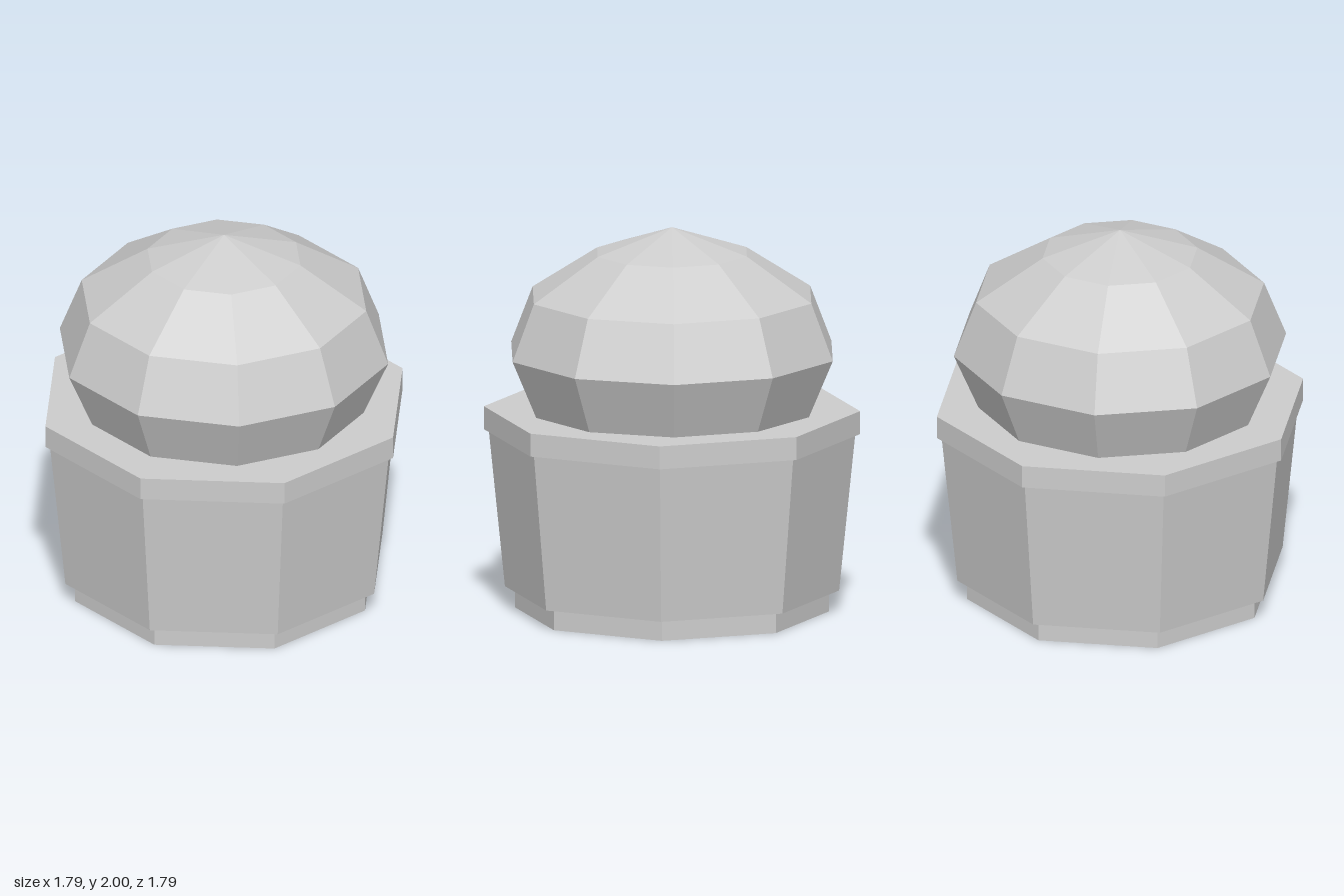
import * as THREE from 'three';

export function createModel() {
  const group = new THREE.Group();
  const grey = new THREE.MeshStandardMaterial({ color: 0xcccccc, flatShading: true, side: THREE.DoubleSide });
  grey.name = 'light grey';

  const add = (name, geometry) => {
    const mesh = new THREE.Mesh(geometry, grey);
    mesh.name = name;
    group.add(mesh);
  };

  // Octagonal tier with a flat side to the front; sizes are centre-to-side distances
  const tier = (name, bottom, top, y0, y1, open = false) => {
    const k = 1 / Math.cos(Math.PI / 8);
    const geometry = new THREE.CylinderGeometry(top * k, bottom * k, y1 - y0, 8, 1, open);
    geometry.rotateY(Math.PI / 8).translate(0, (y0 + y1) / 2, 0);
    add(name, geometry);
  };
  tier('foot', 0.745, 0.745, 0, 0.11);
  tier('cup', 0.793, 0.87, 0.11, 0.93, true);
  tier('rim', 0.893, 0.893, 0.93, 1.05);

  // Ten-sided faceted dome with corners on the x axis
  const profile = [[0.735, 1.05], [0.863, 1.35], [0.748, 1.645], [0.402, 1.87], [0, 2]];
  const dome = new THREE.LatheGeometry(profile.map(([r, y]) => new THREE.Vector2(r, y)), 10);
  dome.rotateY(Math.PI / 10);
  add('dome', dome);

  return group;
}
